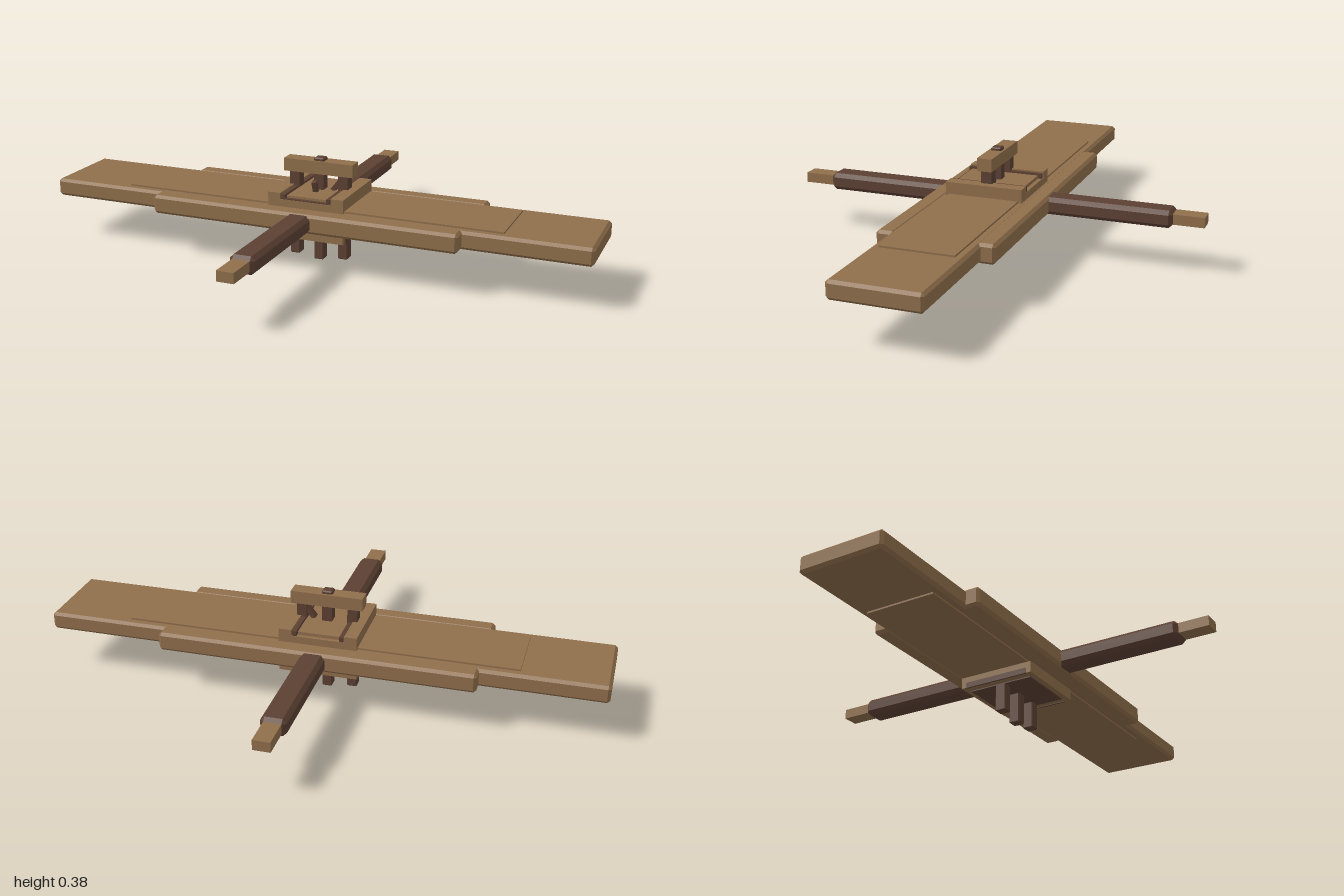
import * as THREE from 'three';
import { ConvexGeometry } from 'three/addons/geometries/ConvexGeometry.js';

export function createModel() {
  const model = new THREE.Group();
  model.name = 'winglikeFrame';
  const light = new THREE.MeshStandardMaterial({ color: 0x8f6e4b });
  light.name = 'light wood';
  const dark = new THREE.MeshStandardMaterial({ color: 0x5c4033 });
  dark.name = 'dark wood';

  // box given by its lower and upper limits, with chamfered edges if c > 0
  function block(name, mat, x0, x1, y0, y1, z0, z1, c = 0) {
    const h = [(x1 - x0) / 2, (y1 - y0) / 2, (z1 - z0) / 2];
    let geo;
    if (c > 0) {
      const pts = [];
      for (const sx of [-1, 1]) for (const sy of [-1, 1]) for (const sz of [-1, 1])
        for (let full = 0; full < 3; full++) {
          const p = [sx, sy, sz].map((s, i) => s * (h[i] - (i === full ? 0 : c)));
          pts.push(new THREE.Vector3(...p));
        }
      geo = new ConvexGeometry(pts);
    } else {
      geo = new THREE.BoxGeometry(2 * h[0], 2 * h[1], 2 * h[2]);
    }
    const mesh = new THREE.Mesh(geo, mat);
    mesh.name = name;
    mesh.position.set((x0 + x1) / 2, (y0 + y1) / 2, (z0 + z1) / 2);
    model.add(mesh);
    return mesh;
  }

  // long plank with a raised panel on both faces
  block('mainPlank', light, -1, 1, 0.16, 0.224, -0.157, 0.157, 0.01);
  block('plankPanel', light, -0.7, 0.7, 0.154, 0.23, -0.127, 0.127);

  // edge rails, axles and their tips, front and back
  for (const s of [-1, 1]) {
    const zBlock = (name, mat, x, y0, y1, a, b, c) =>
      block(name, mat, -x, x, y0, y1, Math.min(s * a, s * b), Math.max(s * a, s * b), c);
    zBlock('edgeRail', light, 0.566, 0.158, 0.226, 0.14, 0.205, 0.01);
    zBlock('axle', dark, 0.044, 0.16, 0.222, 0.15, 0.642, 0.014);
    zBlock('axleTip', light, 0.03, 0.174, 0.21, 0.62, 0.75);
  }

  // upper housing: base, side cheeks, centre panel and grooves
  block('upperBase', light, -0.14, 0.14, 0.224, 0.25, -0.14, 0.14);
  block('centrePanel', light, -0.075, 0.075, 0.245, 0.262, -0.125, 0.125);
  for (const s of [-1, 1]) {
    const cheek = block('upperCheek', light, -0.023, 0.023, 0.245, 0.272, -0.14, 0.14);
    cheek.position.x = s * 0.117;
    const groove = block('darkGroove', dark, -0.007, 0.007, 0.245, 0.268, -0.138, 0.138);
    groove.position.x = s * 0.084;
  }
  block('frontSill', dark, -0.094, 0.094, 0.245, 0.254, 0.125, 0.138);

  // lower housing
  block('lowerBase', light, -0.14, 0.14, 0.112, 0.152, -0.14, 0.14);
  block('lowerNeck', light, -0.11, 0.11, 0.145, 0.165, -0.125, 0.125);
  block('lowerPlate', dark, -0.11, 0.11, 0.108, 0.13, -0.12, 0.12);
  for (const s of [-1, 1]) {
    const strip = block('lowerSideStrip', dark, -0.003, 0.003, 0.11, 0.13, -0.12, 0.12);
    strip.position.x = s * 0.14;
  }

  // posts above and legs below
  for (const x of [-0.092, 0, 0.092]) {
    block('upperPost', dark, x - 0.018, x + 0.018, 0.25, 0.325, -0.02, 0.02);
    block('leg', dark, x - 0.018, x + 0.018, x === 0 ? 0 : 0.012, 0.112, -0.02, 0.02, 0.003);
  }

  // cross beam with its cap
  block('crossBeam', light, -0.13, 0.13, 0.32, 0.366, -0.027, 0.027);
  block('beamCap', dark, -0.019, 0.019, 0.36, 0.377, -0.019, 0.019, 0.004);

  // slanted braces and peg
  const upperBrace = block('upperBrace', dark, -0.008, 0.008, 0.255, 0.325, -0.012, 0.012);
  upperBrace.position.x = 0.07;
  upperBrace.rotation.z = -0.65;
  const lowerBrace = block('lowerBrace', dark, -0.01, 0.01, 0.07, 0.13, -0.008, 0.008);
  lowerBrace.position.set(0, 0.099, -0.038);
  lowerBrace.rotation.x = -1.05;
  const peg = block('peg', dark, -0.008, 0.008, 0.255, 0.303, 0.043, 0.059);
  peg.rotation.x = 0.35;

  return model;
}
